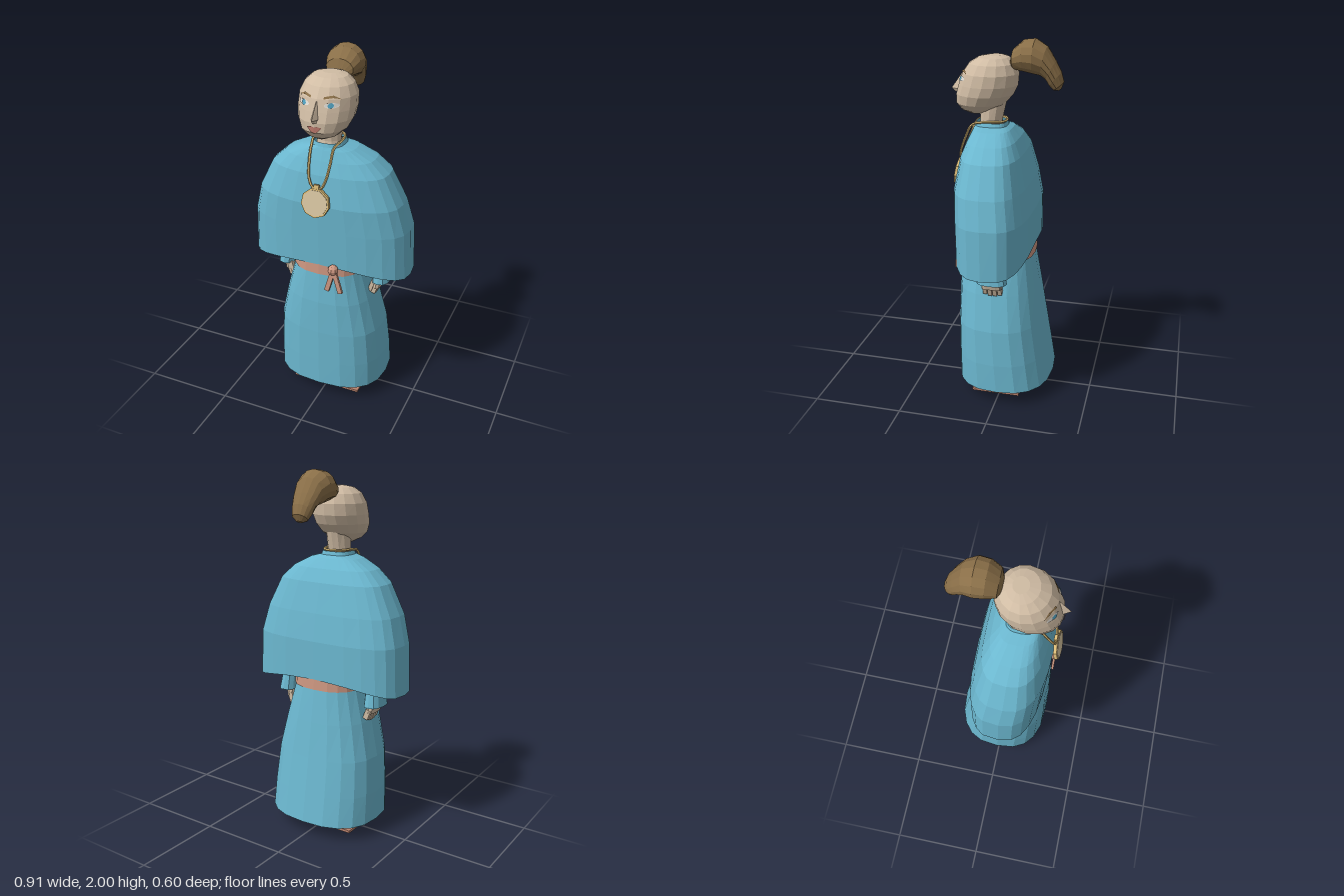
import * as THREE from 'three';

const paint = (name, color, side = THREE.FrontSide) => {
  const m = new THREE.MeshStandardMaterial({ color, side });
  m.name = name;
  return m;
};
const M = {
  cloth: paint('blue cloth', 0x6bb7cf, THREE.DoubleSide),
  skin: paint('skin', 0xd0bca4),
  hair: paint('brown hair', 0x8a6f48),
  sash: paint('sash pink', 0xcf9882),
  sandal: paint('sandal', 0xb9826d),
  gold: paint('gold', 0xdcbc78),
  pale: paint('pale gold', 0xd6c3a0),
  white: paint('eye white', 0xdedad2),
  iris: paint('iris blue', 0x4f9fbe),
  lips: paint('lips', 0xb9776a),
};

function add(parent, name, geometry, material) {
  const g = geometry.index ? geometry.toNonIndexed() : geometry;
  g.computeVertexNormals(); // one normal per facet
  const mesh = new THREE.Mesh(g, material);
  mesh.name = name;
  parent.add(mesh);
  return mesh;
}

// Join rings of points into a skin, optionally closing the ends
function skinRings(rings, capStart = true, capEnd = true) {
  const n = rings[0].length, pos = [], idx = [];
  rings.forEach(r => r.forEach(p => pos.push(p.x, p.y, p.z)));
  for (let j = 0; j < rings.length - 1; j++) {
    for (let i = 0; i < n; i++) {
      const a = j * n + i, b = j * n + (i + 1) % n;
      idx.push(a, b, b + n, a, b + n, a + n);
    }
  }
  const cap = (j, flip) => {
    const c = new THREE.Vector3();
    rings[j].forEach(p => c.addScaledVector(p, 1 / n));
    const k = pos.length / 3;
    pos.push(c.x, c.y, c.z);
    for (let i = 0; i < n; i++) {
      const a = j * n + i, b = j * n + (i + 1) % n;
      flip ? idx.push(k, b, a) : idx.push(k, a, b);
    }
  };
  if (capStart) cap(0, true);
  if (capEnd) cap(rings.length - 1, false);
  const g = new THREE.BufferGeometry();
  g.setAttribute('position', new THREE.Float32BufferAttribute(pos, 3));
  g.setIndex(idx);
  return g;
}

// Horizontal rings [y, halfWidth, zFront, zBack, xCentre]; pf and pb set front and back squareness
const bend = (v, p) => Math.sign(v) * Math.abs(v) ** (2 / p);
function rings(rows, n, pf = 2, pb = pf) {
  return rows.map(([y, rx, zf, zb, cx = 0]) => Array.from({ length: n }, (_, i) => {
    const a = i / n * Math.PI * 2, p = Math.cos(a) >= 0 ? pf : pb;
    return new THREE.Vector3(cx + rx * bend(Math.sin(a), p), y,
      (zf + zb) / 2 + (zf - zb) / 2 * bend(Math.cos(a), p));
  }));
}

const HEAD = [
  [1.603, 0.03, 0.205, 0.11], [1.625, 0.08, 0.245, 0.07], [1.66, 0.12, 0.272, 0.01],
  [1.71, 0.144, 0.272, -0.035], [1.76, 0.15, 0.257, -0.06], [1.82, 0.147, 0.236, -0.065],
  [1.87, 0.125, 0.2, -0.045], [1.9, 0.09, 0.15, -0.01], [1.91, 0.045, 0.1, 0.02],
];
// Depth of the face surface at x, y
function faceZ(x, y) {
  let j = 0;
  while (j < HEAD.length - 2 && HEAD[j + 1][0] < y) j++;
  const t = (y - HEAD[j][0]) / (HEAD[j + 1][0] - HEAD[j][0]);
  const [rx, zf, zb] = [1, 2, 3].map(k => THREE.MathUtils.lerp(HEAD[j][k], HEAD[j + 1][k], t));
  return (zf + zb) / 2 + (zf - zb) / 2 * Math.sqrt(Math.max(0, 1 - (x / rx) ** 2));
}
// Thin plate lying on the face
function facePlate(parent, name, points, material, lift) {
  const g = new THREE.ShapeGeometry(new THREE.Shape(points.map(p => new THREE.Vector2(...p))));
  const p = g.attributes.position;
  for (let i = 0; i < p.count; i++) p.setZ(i, faceZ(p.getX(i), p.getY(i)) + lift);
  add(parent, name, g, material);
}
const oval = (cx, cy, rx, ry, n = 10) => Array.from({ length: n }, (_, i) => {
  const a = i / n * Math.PI * 2;
  return [cx + rx * Math.cos(a), cy + ry * Math.sin(a)];
});

function buildHead() {
  const head = new THREE.Group();
  head.name = 'head';
  add(head, 'skull', skinRings(rings(HEAD, 16)), M.skin);
  add(head, 'neck', skinRings(rings([[1.5, 0.075, 0.16, 0.01], [1.57, 0.064, 0.145, 0.025],
    [1.68, 0.066, 0.15, 0.0]], 12)), M.skin);
  // Nose wedge
  const tri = (y, w, z, back) => [[0, z], [w, back], [-w, back]].map(([x, d]) => new THREE.Vector3(x, y, d));
  add(head, 'nose', skinRings([tri(1.712, 0.022, 0.285, 0.255), tri(1.728, 0.024, 0.302, 0.25),
    tri(1.81, 0.01, 0.243, 0.225)]), M.skin);
  for (const s of [1, -1]) {
    facePlate(head, 'eyeWhite', oval(s * 0.073, 1.795, 0.034, 0.013), M.white, 0.002);
    facePlate(head, 'iris', oval(s * 0.071, 1.795, 0.014, 0.013, 8), M.iris, 0.005);
    const brow = [[0.034, 1.823], [0.075, 1.829], [0.112, 1.82], [0.075, 1.839], [0.034, 1.833]];
    const pts = brow.map(([x, y]) => [s * x, y]);
    facePlate(head, 'eyebrow', s > 0 ? pts : pts.reverse(), M.hair, 0.004);
  }
  facePlate(head, 'mouth', [[-0.038, 1.69], [-0.02, 1.668], [0, 1.66], [0.02, 1.668], [0.038, 1.69],
    [0.014, 1.695], [0, 1.69], [-0.014, 1.695]], M.lips, 0.004);

  // Ponytail: [zUpper, yUpper, zLower, yLower, halfWidth]
  const tail = [
    [-0.02, 1.885, -0.02, 1.86, 0.03], [-0.035, 1.945, -0.04, 1.84, 0.075], [-0.09, 1.993, -0.09, 1.83, 0.095],
    [-0.15, 2.0, -0.14, 1.82, 0.1], [-0.21, 1.962, -0.18, 1.812, 0.085], [-0.255, 1.89, -0.205, 1.795, 0.072],
    [-0.285, 1.835, -0.222, 1.765, 0.06], [-0.299, 1.785, -0.245, 1.742, 0.045], [-0.285, 1.75, -0.268, 1.74, 0.018],
  ].map(([zu, yu, zl, yl, w]) => Array.from({ length: 14 }, (_, i) => {
    const a = i / 14 * Math.PI * 2, c = Math.cos(a) / 2;
    return new THREE.Vector3(w * Math.sin(a), (yu + yl) / 2 + (yu - yl) * c, (zu + zl) / 2 + (zu - zl) * c);
  }));
  add(head, 'ponytail', skinRings(tail), M.hair);
  return head;
}

function buildRobe() {
  const robe = new THREE.Group();
  robe.name = 'robe';
  add(robe, 'skirt', skinRings(rings([
    [0.085, 0.32, 0.257, -0.28], [0.25, 0.316, 0.258, -0.253], [0.45, 0.3, 0.258, -0.22],
    [0.65, 0.252, 0.252, -0.19], [0.84, 0.198, 0.235, -0.16]], 20, 2.6, 2.5), false, false), M.cloth);
  add(robe, 'torso', skinRings(rings([
    [0.88, 0.195, 0.23, -0.155], [1.2, 0.2, 0.2, -0.11], [1.42, 0.17, 0.16, -0.05]], 20, 2.6), false), M.cloth);
  add(robe, 'sash', skinRings(rings([
    [0.83, 0.205, 0.24, -0.165], [0.9, 0.202, 0.238, -0.162]], 20, 2.6)), M.sash);

  // Cape with a hem that dips at the sides
  const cape = rings([
    [0.89, 0.455, 0.238, -0.166], [1.1, 0.443, 0.245, -0.165], [1.25, 0.402, 0.25, -0.142],
    [1.41, 0.322, 0.222, -0.105], [1.48, 0.245, 0.196, -0.07], [1.53, 0.145, 0.175, -0.03],
    [1.545, 0.085, 0.168, -0.005], [1.565, 0.077, 0.162, 0.0]], 24, 2.6, 3.2);
  cape[0].forEach(p => { p.y -= 0.06 * (p.x / 0.455) ** 2; });
  add(robe, 'cape', skinRings(cape, false, false), M.cloth);

  // Knot and loose ends of the sash
  const knot = add(robe, 'sashKnot', new THREE.SphereGeometry(0.03, 8, 6), M.sash);
  knot.position.set(0.088, 0.882, 0.248);
  for (const s of [1, -1]) {
    const end = add(robe, 'sashEnd', new THREE.BoxGeometry(0.026, 0.125, 0.014), M.sash);
    end.position.set(0.094 + s * 0.023, 0.81, 0.255);
    end.rotation.z = s * 0.28;
  }
  return robe;
}

function buildNecklace() {
  const necklace = new THREE.Group();
  necklace.name = 'necklace';
  const half = [[0.02, 1.352, 0.252], [0.046, 1.4, 0.243], [0.058, 1.48, 0.212], [0.062, 1.55, 0.175],
    [0.078, 1.572, 0.1], [0.055, 1.572, 0.02]];
  const path = [...half, [0, 1.572, 0], ...half.map(([x, y, z]) => [-x, y, z]).reverse()];
  const curve = new THREE.CatmullRomCurve3(path.map(p => new THREE.Vector3(...p)), true);
  add(necklace, 'chain', new THREE.TubeGeometry(curve, 48, 0.007, 5, true), M.gold);
  const pendant = new THREE.Group();
  pendant.name = 'pendant';
  pendant.position.set(0, 1.277, 0.266);
  pendant.rotation.x = -0.18;
  add(pendant, 'pendantRim', new THREE.CylinderGeometry(0.08, 0.08, 0.018, 9).rotateX(Math.PI / 2), M.gold);
  add(pendant, 'pendantFace', new THREE.CylinderGeometry(0.071, 0.071, 0.006, 9).rotateX(Math.PI / 2), M.pale)
    .position.z = 0.009;
  add(pendant, 'pendantLoop', new THREE.BoxGeometry(0.03, 0.024, 0.016), M.gold).position.y = 0.084;
  necklace.add(pendant);
  return necklace;
}

function buildArm(s) {
  const arm = new THREE.Group();
  arm.name = s > 0 ? 'leftArm' : 'rightArm';
  add(arm, 'sleeve', skinRings(rings([
    [0.75, 0.052, 0.1, -0.068, s * 0.287], [0.83, 0.045, 0.085, -0.05, s * 0.283],
    [0.9, 0.05, 0.08, -0.05, s * 0.27], [1.15, 0.07, 0.09, -0.06, s * 0.25],
    [1.38, 0.06, 0.1, -0.03, s * 0.2]], 12, 2.4), false), M.cloth);
  add(arm, 'palm', skinRings(rings([
    [0.705, 0.022, 0.08, -0.035, s * 0.267], [0.745, 0.026, 0.078, -0.03, s * 0.273],
    [0.8, 0.025, 0.055, -0.02, s * 0.282]], 10, 3)), M.skin);
  for (let i = 0; i < 4; i++) {
    const finger = add(arm, 'finger', new THREE.BoxGeometry(0.03, 0.056, 0.022), M.skin);
    finger.position.set(s * 0.257, i % 3 ? 0.69 : 0.698, -0.021 + i * 0.027);
    finger.rotation.z = -s * 0.35;
  }
  const thumb = add(arm, 'thumb', new THREE.BoxGeometry(0.022, 0.07, 0.024), M.skin);
  thumb.position.set(s * 0.245, 0.722, 0.07);
  thumb.rotation.z = -s * 0.3;
  return arm;
}

function buildSandal(s) {
  const sandal = new THREE.Group();
  sandal.name = s > 0 ? 'leftSandal' : 'rightSandal';
  sandal.position.x = s * 0.155;
  add(sandal, 'sole', new THREE.BoxGeometry(0.1, 0.014, 0.275), M.sandal).position.set(0, 0.007, 0.022);
  // Tapered upper, lofted from heel to toe
  const upper = [[-0.115, 0.018, 0.07, 0.046], [0, 0.018, 0.078, 0.05], [0.1, 0.022, 0.066, 0.048],
    [0.16, 0.03, 0.056, 0.036], [0.175, 0.036, 0.05, 0.02]].map(([z, lo, hi, w]) =>
    Array.from({ length: 10 }, (_, i) => {
      const a = i / 10 * Math.PI * 2;
      return new THREE.Vector3(w * Math.cos(a), (lo + hi) / 2 + (hi - lo) / 2 * Math.sin(a), z);
    }));
  add(sandal, 'upper', skinRings(upper), M.sandal);
  return sandal;
}

export function createModel() {
  const model = new THREE.Group();
  model.name = 'robedFigure';
  model.add(buildHead(), buildRobe(), buildNecklace());
  for (const s of [1, -1]) model.add(buildArm(s), buildSandal(s));
  return model;
}
